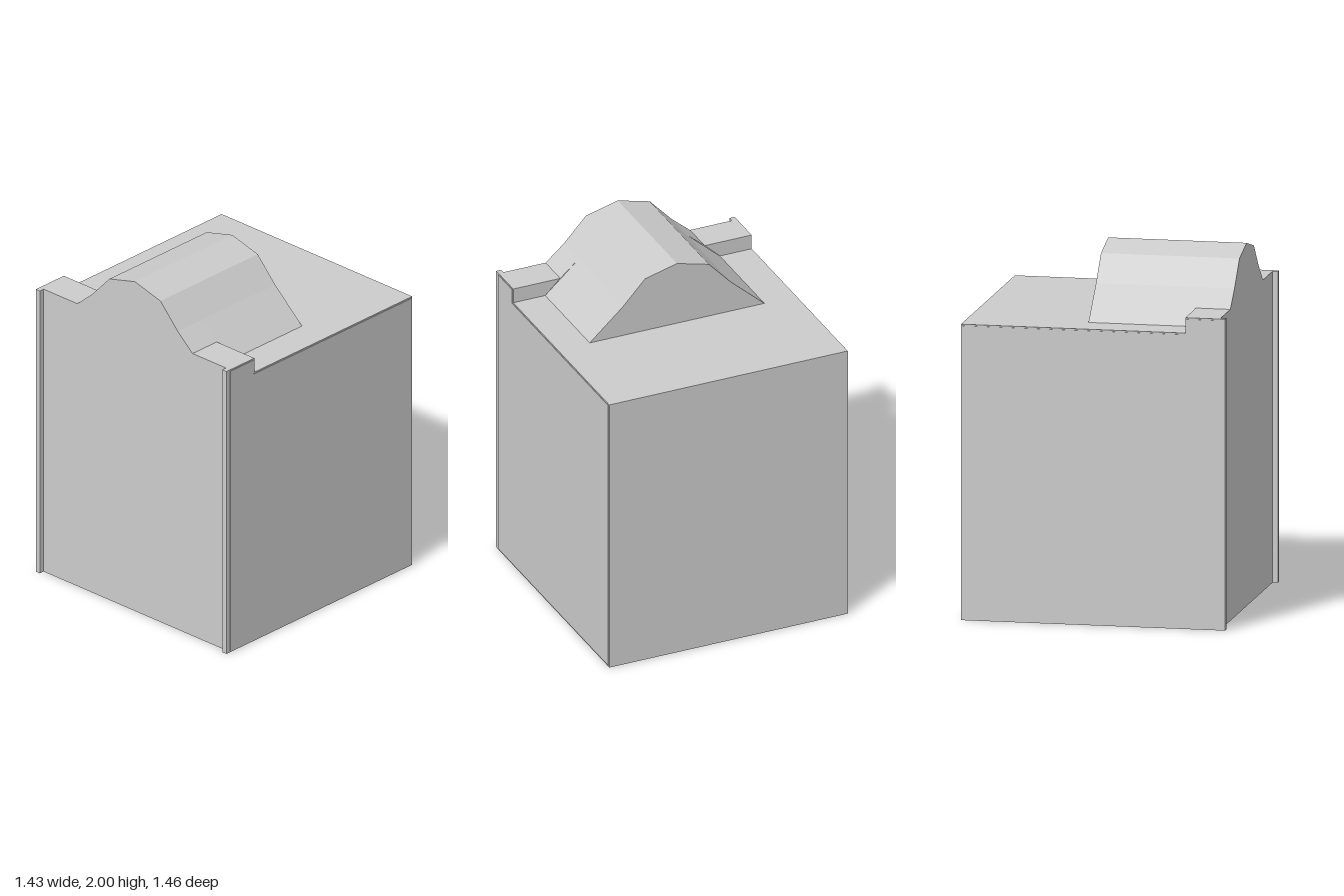
import * as THREE from 'three';

const W = 0.71, ROOF = 1.63, LEDGE = 1.715;
const BACK = -0.73, RIDGE_BACK = -0.065, STEP = 0.51, FRONT = 0.7, POST = 0.73;

export function createModel() {
  const model = new THREE.Group();
  const mat = new THREE.MeshStandardMaterial({ color: 0xcccccc, flatShading: true, side: THREE.DoubleSide });

  const add = (name, geo) => {
    const mesh = new THREE.Mesh(geo, mat);
    mesh.name = name;
    model.add(mesh);
    return mesh;
  };
  const shapeOf = (pts) => new THREE.Shape(pts.map(([x, y]) => new THREE.Vector2(x, y)));
  // Complete a symmetrical outline from its right half (outer to centre)
  const mirror = (half) => [
    ...half.map(([x, y]) => [-x, y]),
    ...half.slice().reverse().filter(([x]) => x > 0),
  ];

  // Open skin: an outline swept straight along z
  function ribbon(profile, z0, z1) {
    const v = [];
    for (let i = 0; i < profile.length - 1; i++) {
      const [ax, ay] = profile[i], [bx, by] = profile[i + 1];
      v.push(ax, ay, z0, ax, ay, z1, bx, by, z1, ax, ay, z0, bx, by, z1, bx, by, z0);
    }
    const g = new THREE.BufferGeometry();
    g.setAttribute('position', new THREE.Float32BufferAttribute(v, 3));
    g.computeVertexNormals();
    return g;
  }
  // Flat wall facing front or back
  function wall(name, pts, z, facesBack) {
    const g = new THREE.ShapeGeometry(shapeOf(pts));
    if (facesBack) g.rotateY(Math.PI);
    g.translate(0, 0, z);
    return add(name, g);
  }

  const ridge = [[0.32, 1.81], [0.19, 1.95], [0, 2]];
  const rearOutline = mirror([[W, 0], [W, ROOF]]);
  const ridgeOutline = mirror([[W, 0], [W, ROOF], [0.52, ROOF], ...ridge]);
  const frontOutline = mirror([[W, 0], [W, LEDGE], [0.43, LEDGE], ...ridge]);

  // Hollow body, open underneath
  add('rearBody', ribbon(rearOutline, BACK, RIDGE_BACK));
  add('ridgeBody', ribbon(ridgeOutline, RIDGE_BACK, STEP));
  add('frontBody', ribbon(frontOutline, STEP, FRONT));
  wall('backWall', rearOutline, BACK, true);
  wall('frontWall', frontOutline, FRONT, false);
  wall('ridgeBackWall', mirror([[0.52, ROOF], ...ridge]), RIDGE_BACK, true);

  for (const [side, s] of [['left', 1], ['right', -1]]) {
    // Back of the raised ledge beside the ridge
    wall(side + 'LedgeBack', [[0.52, ROOF], [W, ROOF], [W, LEDGE], [0.43, LEDGE]]
      .map(([x, y]) => [x * s, y]), STEP, false);

    // Corner post on the front edge
    const post = add(side + 'FrontPost', new THREE.BoxGeometry(0.03, LEDGE, POST - FRONT));
    post.position.set(s * (W - 0.015), LEDGE / 2, (FRONT + POST) / 2);

    // Thin side panel following the stepped outline
    const e = 0.008;
    const outline = [
      [-FRONT, e], [-BACK - e, e], [-BACK - e, ROOF - e],
      [-STEP - e, ROOF - e], [-STEP - e, LEDGE - e], [-FRONT, LEDGE - e],
    ];
    const geo = new THREE.ExtrudeGeometry(shapeOf(outline), { depth: 0.003, bevelEnabled: false });
    geo.rotateY(Math.PI / 2);
    add(side + 'SidePanel', geo).position.x = s > 0 ? W : -W - 0.003;
  }
  return model;
}
